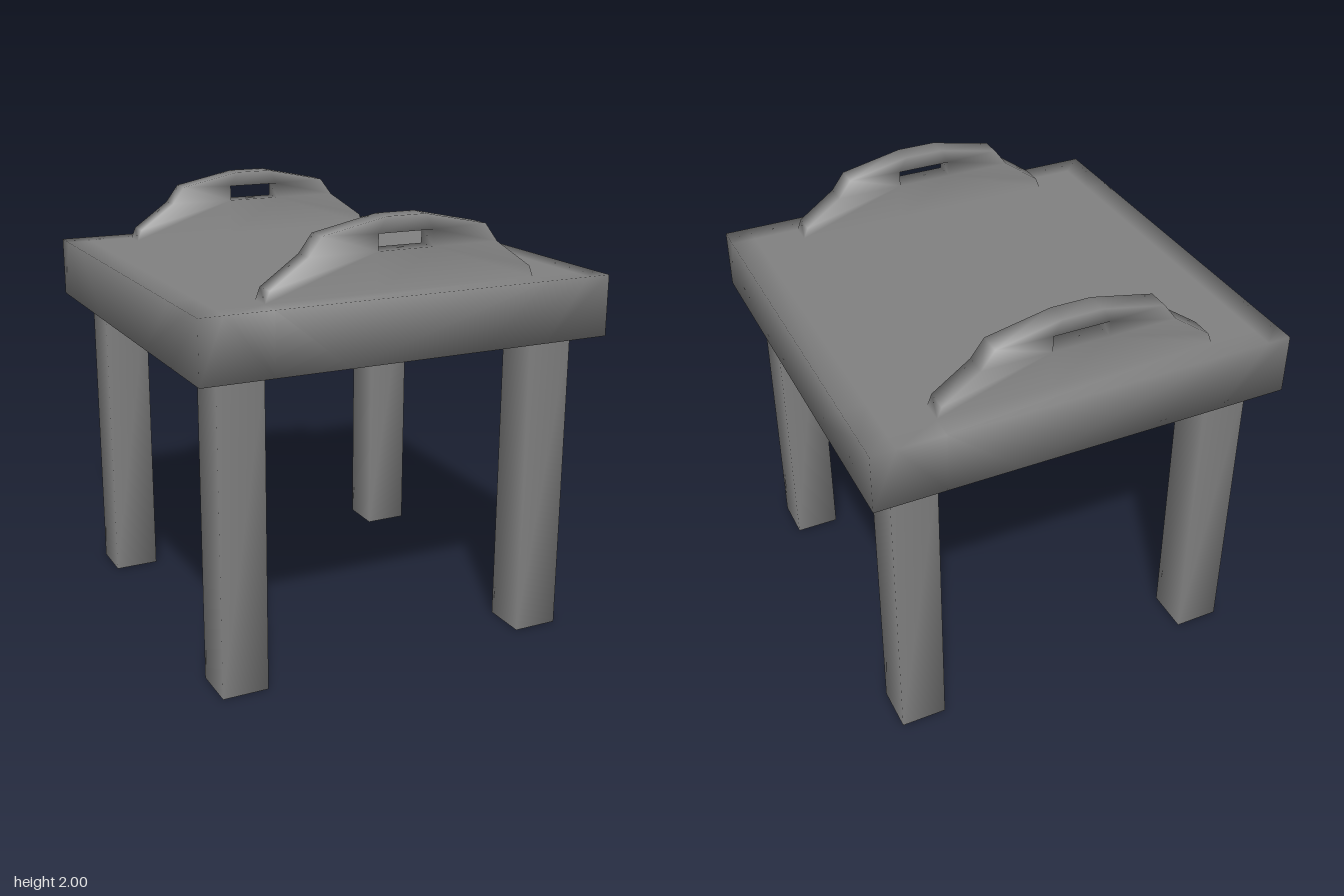
import * as THREE from 'three';
import { mergeVertices } from 'three/addons/utils/BufferGeometryUtils.js';

const material = new THREE.MeshStandardMaterial({ color: 0x808080 });

// Weld shared corners so normals blend softly across the edges
function soften(geometry) {
  geometry.deleteAttribute('uv');
  geometry.deleteAttribute('normal');
  const welded = mergeVertices(geometry, 1e-4);
  welded.computeVertexNormals();
  return welded;
}

function addPart(group, name, geometry, x, y, z) {
  const mesh = new THREE.Mesh(geometry, material);
  mesh.name = name;
  mesh.position.set(x, y, z);
  group.add(mesh);
}

// Slab with a narrow soft rim above and a wider one below
function slabGeometry(height) {
  const upper = [-0.955, -0.845, -0.635, 0.635, 0.845, 0.955];
  const lower = [-0.955, -0.635, -0.3, 0.3, 0.635, 0.955];
  const geometry = new THREE.BoxGeometry(5, height, 5, 5, 1, 5);
  const p = geometry.attributes.position;
  for (let i = 0; i < p.count; i++) {
    const lines = p.getY(i) > 0 ? upper : lower;
    p.setX(i, lines[Math.round(p.getX(i) + 2.5)]);
    p.setZ(i, lines[Math.round(p.getZ(i) + 2.5)]);
  }
  return soften(geometry);
}

// Arched plate around a grip opening: a closed ring of rectangular sections,
// each spanning from an outline point to a corner of the opening
function handleGeometry(depth) {
  const base = 1.69;
  const low = [0.128, 1.86];
  const high = [0.128, 1.932];
  const half = [
    [[0.13, base], low], [[0.63, base], low], [[0.61, 1.74], low],
    [[0.44, 1.86], low], [[0.38, 1.94], high], [[0.09, 2], high],
  ];
  const flip = ([x, y]) => [-x, y];
  const ring = [...half, ...half.map(([o, i]) => [flip(o), flip(i)]).reverse()];

  const positions = [];
  const indices = [];
  ring.forEach(([outer, inner], i) => {
    const z = depth / 2;
    positions.push(...outer, z, ...inner, z, ...inner, -z, ...outer, -z);
    const next = ((i + 1) % ring.length) * 4;
    for (let k = 0; k < 4; k++) {
      const l = (k + 1) % 4;
      const [a, b, c, d] = [i * 4 + k, next + k, next + l, i * 4 + l];
      indices.push(a, b, c, a, c, d);
    }
  });
  const geometry = new THREE.BufferGeometry();
  geometry.setAttribute('position', new THREE.Float32BufferAttribute(positions, 3));
  geometry.setIndex(indices);
  const plate = soften(geometry);

  // Let the foot of the plate shade smoothly into the slab
  const p = plate.attributes.position;
  for (let i = 0; i < p.count; i++) {
    if (p.getY(i) < base + 0.001) plate.attributes.normal.setXYZ(i, 0, 1, 0);
  }
  return plate;
}

export function createModel() {
  const group = new THREE.Group();
  group.name = 'table';

  // Top
  addPart(group, 'tableTop', slabGeometry(0.275), 0, 1.5525, 0);

  // Square legs
  const leg = soften(new THREE.BoxGeometry(0.21, 1.415, 0.21));
  for (const [end, z] of [['front', 0.74], ['back', -0.74]]) {
    for (const [side, x] of [['Left', 0.74], ['Right', -0.74]]) {
      addPart(group, `${end}${side}Leg`, leg, x, 0.7075, z);
    }
  }

  // Handles along the front and back
  const handle = handleGeometry(0.1);
  addPart(group, 'frontHandle', handle, 0, 0, 0.795);
  addPart(group, 'backHandle', handle, 0, 0, -0.795);

  return group;
}
